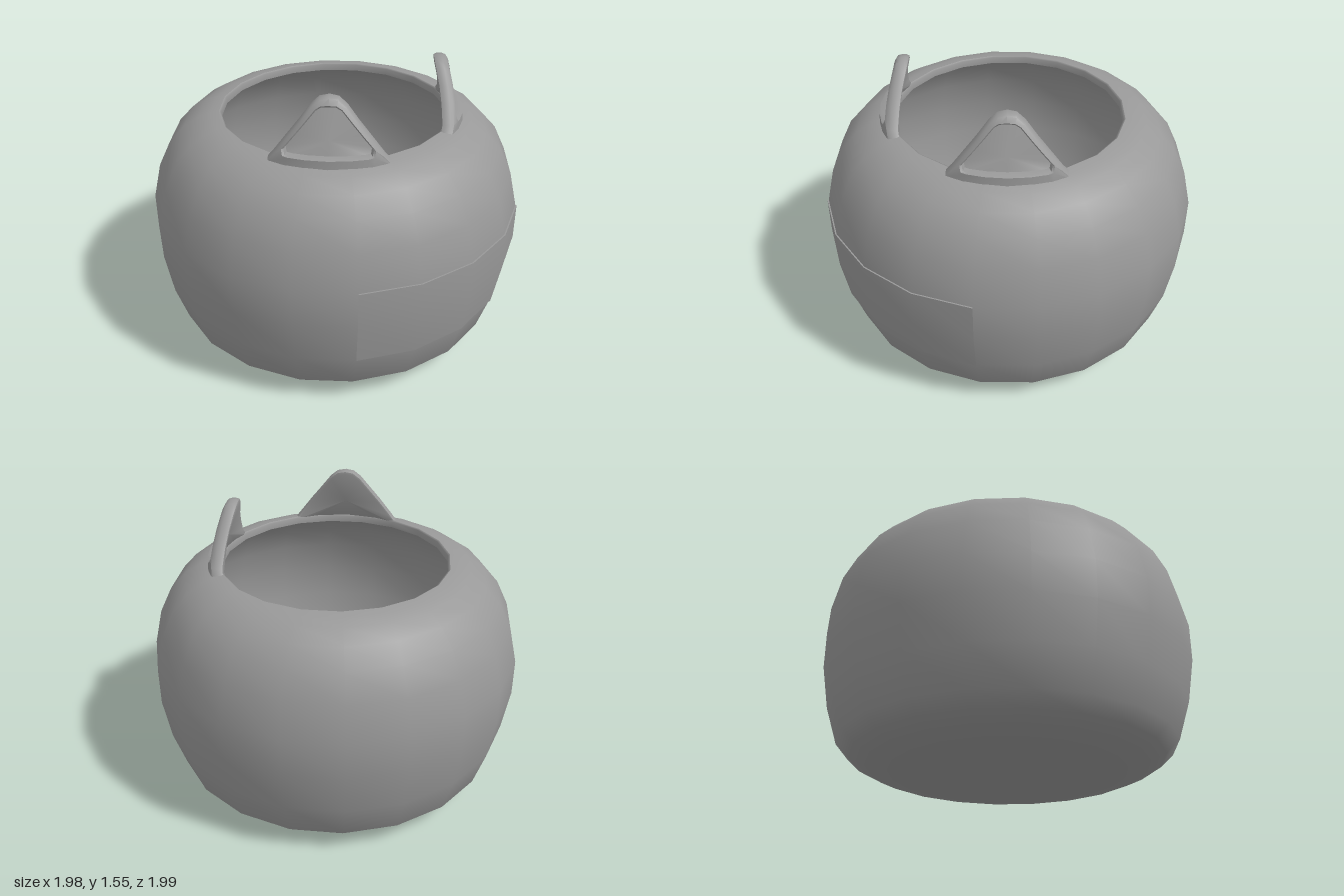
import * as THREE from 'three';
import { toCreasedNormals } from 'three/addons/utils/BufferGeometryUtils.js';

const SEGMENTS = 20;
const clay = new THREE.MeshStandardMaterial({ color: 0x999999 });
clay.name = 'grey clay';

function lathe(profile, name, segments = SEGMENTS, start = 0, sweep = Math.PI * 2) {
  const points = profile.map(([r, y]) => new THREE.Vector2(r, y));
  const mesh = new THREE.Mesh(new THREE.LatheGeometry(points, segments, start, sweep), clay);
  mesh.name = name;
  return mesh;
}

// Half outlines run from bottom centre to tip; mirror them into closed loops
function closeLoop(half) {
  const mirrored = half.slice(1, -1).reverse().map(([u, y]) => [-u, y]);
  return [...half, ...mirrored];
}

// Ear: rings go from the back, around the rim, and into the front recess
function earGeometry() {
  const outer = closeLoop([[0, 1.22], [0.12, 1.22], [0.22, 1.22], [0.31, 1.22], [0.265, 1.275],
    [0.2, 1.36], [0.14, 1.435], [0.085, 1.507], [0.045, 1.541], [0, 1.55]]);
  const recess = closeLoop([[0, 1.28], [0.1, 1.28], [0.18, 1.28], [0.205, 1.283], [0.21, 1.31],
    [0.16, 1.37], [0.11, 1.43], [0.06, 1.49], [0.035, 1.505], [0, 1.507]]);
  const centre = [0, 1.35];
  const shrink = (loop, s) => loop.map(([u, y]) => [u * s, centre[1] + (y - centre[1]) * s]);
  const rings = [
    [shrink(outer, 0), 0], [shrink(outer, 0.91), 0], [shrink(outer, 0.97), 0.006],
    [outer, 0.022], [outer, 0.048], [shrink(outer, 0.97), 0.064],
    [shrink(recess, 1.05), 0.07], [recess, 0.062], [shrink(recess, 0.96), 0.032],
    [shrink(recess, 0), 0.032],
  ];
  const n = outer.length, positions = [], index = [];
  rings.forEach(([loop, depth], i) => {
    // Follow the curve of the bowl mouth and lean inward with height
    for (const [u, y] of loop) {
      positions.push(u, y, Math.sqrt(0.61 ** 2 - u * u) - 0.38 * Math.max(0, y - 1.25) + depth);
    }
    if (i === rings.length - 1) return;
    for (let j = 0; j < n; j++) {
      const a = i * n + j, b = i * n + (j + 1) % n;
      if (i > 0) index.push(a, b, b + n);
      if (i === 0) index.push(a, b + n, a + n);
      else if (i < rings.length - 2) index.push(a, b + n, a + n);
    }
  });
  const geometry = new THREE.BufferGeometry();
  geometry.setAttribute('position', new THREE.Float32BufferAttribute(positions, 3));
  geometry.setIndex(index);
  return toCreasedNormals(geometry, 0.75);
}

export function createModel() {
  const model = new THREE.Group();
  model.name = 'catEarBowl';

  // Rounded outer body
  model.add(lathe([[0, 0], [0.59, 0], [0.72, 0.022], [0.82, 0.068], [0.89, 0.135], [0.952, 0.33],
    [0.99, 0.56], [0.99, 0.76], [0.945, 0.95], [0.88, 1.085], [0.8, 1.172], [0.72, 1.222],
    [0.655, 1.243], [0.61, 1.25]], 'outerBody'));

  // Thin lip and hollow inside
  model.add(lathe([[0.61, 1.25], [0.6, 1.246], [0.6, 1.21]], 'lip').rotateY(0));
  model.children[1].geometry = lathe([[0.61, 1.25], [0.6, 1.244], [0.6, 1.21]], '').geometry;
  model.add(lathe([[0.6, 1.21], [0.7, 1.175], [0.77, 1.13], [0.84, 1.05], [0.9, 0.93], [0.945, 0.75],
    [0.945, 0.56], [0.905, 0.34], [0.85, 0.16], [0.79, 0.105], [0.7, 0.07], [0.58, 0.055],
    [0, 0.055]], 'innerBowl'));

  // Curved plate on the front
  const plate = lathe([[0.95, 0.33], [0.958, 0.33], [0.997, 0.56], [0.997, 0.76], [0.989, 0.76]],
    'frontPlate', 4, -Math.PI / 5, Math.PI * 0.4);
  plate.geometry = toCreasedNormals(plate.geometry, 0.6);
  model.add(plate);

  // Pair of ears on the front diagonals
  const ear = earGeometry();
  for (const side of [1, -1]) {
    const mesh = new THREE.Mesh(ear, clay);
    mesh.name = side > 0 ? 'leftEar' : 'rightEar';
    mesh.rotation.y = side * Math.PI / 4;
    model.add(mesh);
  }
  return model;
}
